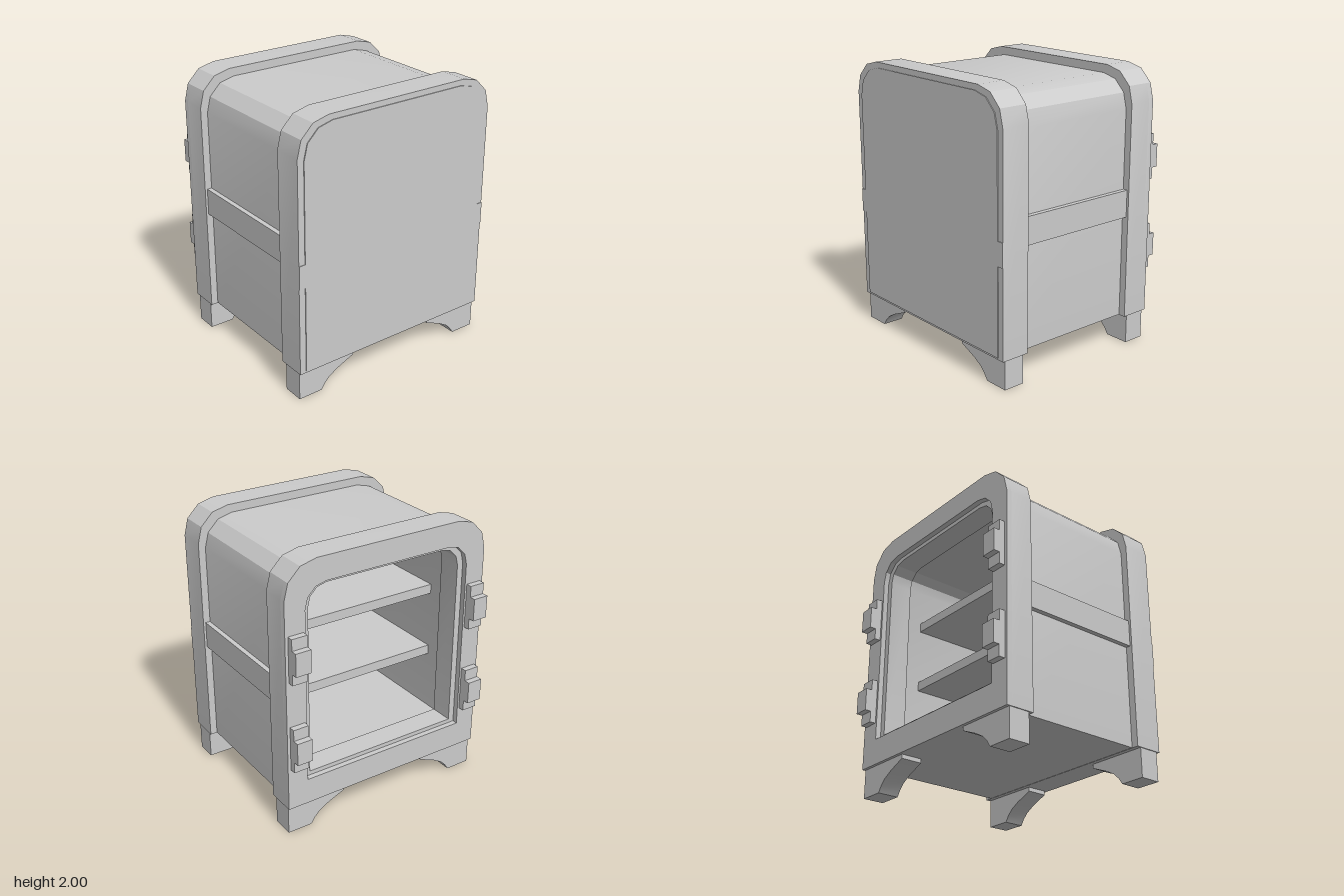
import * as THREE from 'three';
import { toCreasedNormals } from 'three/addons/utils/BufferGeometryUtils.js';

const mat = new THREE.MeshStandardMaterial({ color: 0xcccccc });

// Upright outline with square bottom corners and three-segment rounded top corners
function arch(half, bottom, top, r, Type = THREE.Shape) {
  const corner = [[0, r], [0.125 * r, 0.5 * r], [0.5 * r, 0.125 * r], [r, 0]];
  const right = corner.map(([a, b]) => new THREE.Vector2(half - a, top - b));
  const left = corner.map(([a, b]) => new THREE.Vector2(a - half, top - b)).reverse();
  return new Type([new THREE.Vector2(-half, bottom), new THREE.Vector2(half, bottom), ...right, ...left]);
}

// Extrude a (z, y) outline along x from x0 to x1
function slab(name, shape, x0, x1, hole) {
  if (hole) shape.holes.push(hole);
  const geo = new THREE.ExtrudeGeometry(shape, { depth: x1 - x0, bevelEnabled: false });
  geo.rotateY(Math.PI / 2).translate(x0, 0, 0);
  const mesh = new THREE.Mesh(toCreasedNormals(geo, 0.5), mat);
  mesh.name = name;
  return mesh;
}

function box(name, x0, x1, y0, y1, z0, z1) {
  const mesh = new THREE.Mesh(new THREE.BoxGeometry(x1 - x0, y1 - y0, z1 - z0), mat);
  mesh.position.set((x0 + x1) / 2, (y0 + y1) / 2, (z0 + z1) / 2);
  mesh.name = name;
  return mesh;
}

export function createModel() {
  const g = new THREE.Group();
  g.name = 'safe';

  // Door-side frame with a rebate around the opening
  g.add(slab('doorFrameLip', arch(0.802, 0.21, 2, 0.24), -0.635, -0.595, arch(0.65, 0.40, 1.83, 0.16, THREE.Path)));
  g.add(slab('doorFrame', arch(0.802, 0.21, 2, 0.24), -0.595, -0.423, arch(0.605, 0.43, 1.80, 0.14, THREE.Path)));

  // Hollow body, closed by the rear frame and its panel
  g.add(slab('body', arch(0.75, 0.212, 1.94, 0.22), -0.423, 0.505, arch(0.615, 0.42, 1.81, 0.14, THREE.Path)));
  g.add(slab('rearFrame', arch(0.802, 0.21, 2, 0.24), 0.505, 0.717));
  g.add(slab('rearPanel', arch(0.755, 0.225, 1.96, 0.22), 0.717, 0.723));
  g.add(box('rearPanelTabs', 0.71, 0.722, 0.86, 1.03, -0.802, 0.802));

  // Evenly spaced shelves inside
  for (const top of [0.92, 1.41]) g.add(box('shelf', -0.31, 0.505, top - 0.07, top, -0.615, 0.615));

  for (const s of [-1, 1]) {
    // Belt strips on the front and back faces
    g.add(box('beltStrip', -0.423, 0.505, 0.957, 1.153, Math.min(s * 0.74, s * 0.785), Math.max(s * 0.74, s * 0.785)));

    // Hinges: tall plate with a shorter block on it
    const z0 = Math.min(s * 0.665, s * 0.78), z1 = Math.max(s * 0.665, s * 0.78);
    for (const y of [0.692, 1.353]) {
      const hinge = new THREE.Group();
      hinge.name = 'hinge';
      hinge.add(box('hingePlate', -0.68, -0.635, y - 0.165, y + 0.165, z0, z1));
      hinge.add(box('hingeBlock', -0.725, -0.68, y - 0.083, y + 0.083, z0, z1));
      g.add(hinge);
    }

    // Bracket feet with a curved inner edge
    const profile = [[0.795, 0.21], [0.795, 0], [0.61, 0], [0.58, 0.045], [0.54, 0.085], [0.47, 0.125], [0.34, 0.18], [0.34, 0.21]];
    for (const [x0, x1] of [[-0.612, -0.453], [0.54, 0.695]]) {
      const shape = new THREE.Shape(profile.map(([z, y]) => new THREE.Vector2(s * z, y)));
      g.add(slab('foot', shape, x0, x1));
    }
  }
  return g;
}
